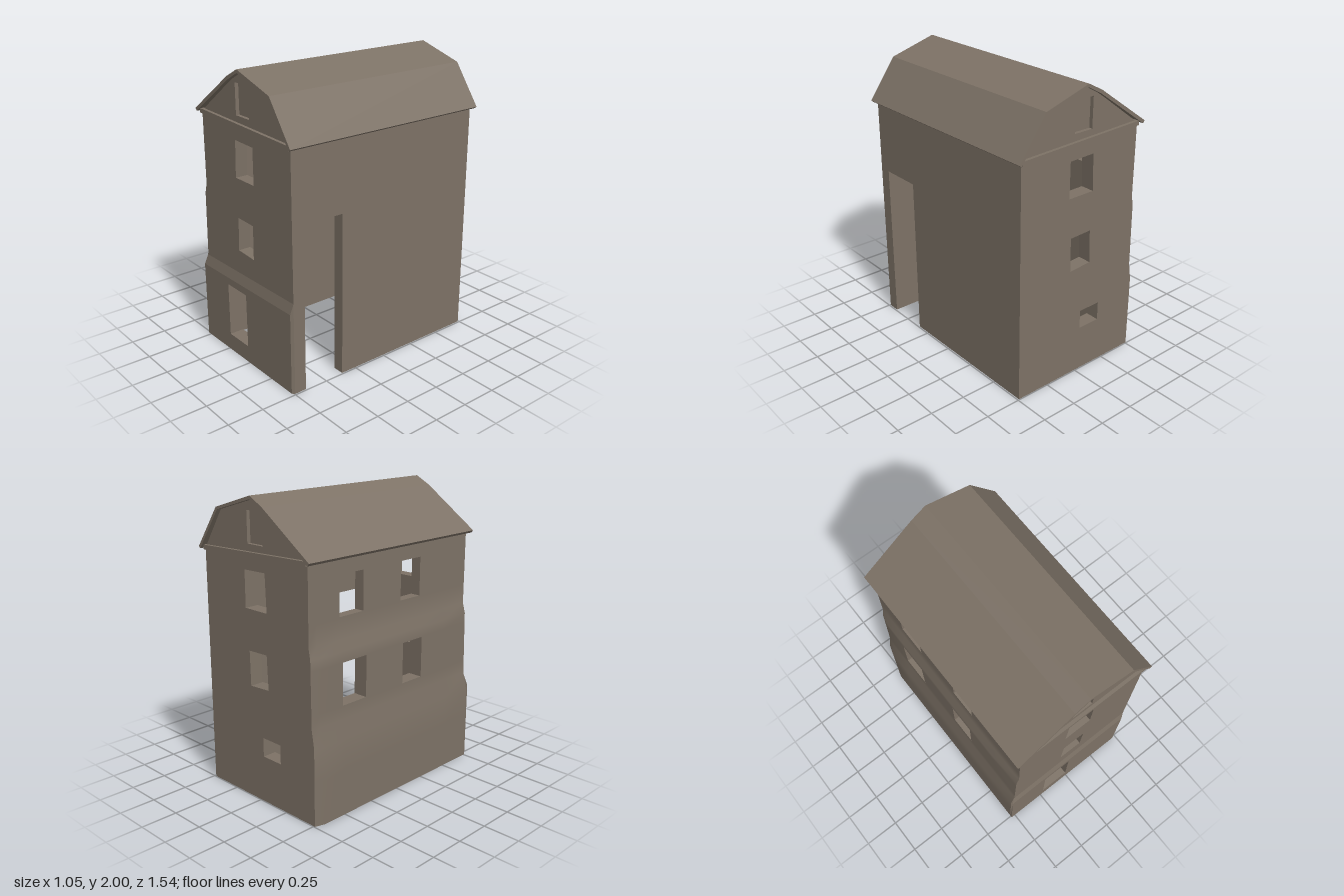
import * as THREE from 'three';
import { toCreasedNormals } from 'three/addons/utils/BufferGeometryUtils.js';

const material = new THREE.MeshStandardMaterial({ color: 0x7d7266 });

const rect = (x0, y0, x1, y1) => [[x0, y0], [x1, y0], [x1, y1], [x0, y1]];
const toPoints = (list) => list.map(([x, y]) => new THREE.Vector2(x, y));

// Flat plate from an outline with openings, running from z0 to z1
function plate(outline, holes, z0, z1) {
  const shape = new THREE.Shape(toPoints(outline));
  holes.forEach((h) => shape.holes.push(new THREE.Path(toPoints(h))));
  const geo = new THREE.ExtrudeGeometry(shape, { depth: z1 - z0, bevelEnabled: false });
  return geo.translate(0, 0, z0);
}

// Linear interpolation through [position, value] pairs
function sample(table, t) {
  for (let i = 1; i < table.length; i++) {
    const [t0, a] = table[i - 1], [t1, b] = table[i];
    if (t <= t1) return a + (b - a) * Math.max(0, (t - t0) / (t1 - t0));
  }
  return table[table.length - 1][1];
}

// Uneven side wall: a grid of cells with window cells left out
function bulgedWall(inner) {
  const zs = [-0.745, -0.68, -0.49, -0.28, -0.1, 0.07, 0.26, 0.5, 0.745];
  const ys = [0, 0.3, 0.52, 0.64, 0.73, 1.01, 1.08, 1.15, 1.29, 1.55, 1.64];
  const low = [[0, 0.06], [0.52, 0.06], [0.64, 0.03], [1.08, 0.02], [1.15, 0], [1.7, 0]];
  const mid = [[0, 0.06], [0.52, 0.06], [0.64, 0.03], [1.08, 0.03], [1.15, 0], [1.7, 0]];
  const outerX = (z, y) => {
    const edge = Math.abs(z) > 0.7;
    return -0.47 - sample(edge ? low : mid, y) * (z < -0.7 ? 0.65 : 1);
  };
  const solid = (i, j) => {
    if (i < 0 || j < 0 || i >= zs.length - 1 || j >= ys.length - 1) return false;
    const windowColumn = i === 2 || i === 5, windowRow = j === 4 || j === 8;
    return !(windowColumn && windowRow);
  };
  const pos = [];
  const quad = (a, b, c, d) => [a, b, c, a, c, d].forEach((p) => pos.push(...p));
  const out = ([i, j]) => [outerX(zs[i], ys[j]), ys[j], zs[i]];
  const inn = ([i, j]) => [inner, ys[j], zs[i]];
  for (let i = 0; i < zs.length - 1; i++) {
    for (let j = 0; j < ys.length - 1; j++) {
      if (!solid(i, j)) continue;
      const c = [[i, j], [i + 1, j], [i + 1, j + 1], [i, j + 1]];
      quad(...c.map(out));
      quad(...c.map(inn).reverse());
      [[0, -1], [1, 0], [0, 1], [-1, 0]].forEach(([di, dj], k) => {
        if (solid(i + di, j + dj)) return;
        const a = c[k], b = c[(k + 1) % 4];
        quad(out(b), out(a), inn(a), inn(b));
      });
    }
  }
  const geo = new THREE.BufferGeometry();
  geo.setAttribute('position', new THREE.Float32BufferAttribute(pos, 3));
  return toCreasedNormals(geo, 0.6);
}

export function createModel() {
  const group = new THREE.Group();
  const add = (name, geo) => {
    const mesh = new THREE.Mesh(geo, material);
    mesh.name = name;
    group.add(mesh);
  };

  // Front and back walls with slightly crooked windows
  const upperWindow = [[-0.1, 1.29], [0.1, 1.29], [0.1, 1.535], [-0.09, 1.54]];
  const middleWindow = [[-0.1, 0.79], [0.07, 0.78], [0.075, 1.015], [-0.09, 1.02]];
  const groundWindow = rect(-0.23, 0.12, -0.015, 0.5);
  const smallWindow = rect(-0.2, 0.32, -0.035, 0.45);
  const wall = [[-0.4, 0], [0.49, 0], [0.49, 1.61], [-0.4, 1.638]];
  add('frontWall', plate(wall, [upperWindow, middleWindow, groundWindow], 0.66, 0.745));
  add('backWall', plate(wall, [upperWindow, middleWindow, smallWindow], -0.745, -0.65));

  // Thickened base of the front wall with a sloping top
  const base = plate([[-0.53, 0], [0.49, 0], [0.49, 0.635], [-0.505, 0.62]], [groundWindow], 0.745, 0.761);
  const p = base.attributes.position;
  for (let i = 0; i < p.count; i++) {
    if (p.getZ(i) < 0.75) continue;
    if (p.getY(i) > 0.55) p.setY(i, p.getY(i) - 0.075);
    if (p.getX(i) > 0.4) p.setX(i, 0.475);
    if (p.getX(i) < -0.4) p.setX(i, -0.528);
  }
  base.computeVertexNormals();
  add('frontWallBase', base);

  // Side wall with the tall doorway, drawn in z and y
  const side = plate([[-0.65, 0], [0.36, 0], [0.36, 1.13], [0.66, 1.13], [0.66, 1.612], [-0.65, 1.612]], [], 0, 0.08);
  add('leftWall', side.rotateY(-Math.PI / 2).translate(0.49, 0, 0));

  // Opposite side wall, bulging, with four windows
  add('rightWall', bulgedWall(-0.4));

  // Attic floor that projects as a cornice at both ends
  add('atticFloor', plate([[-0.47, 1.64], [0.49, 1.61], [0.49, 1.64], [-0.47, 1.67]], [], -0.762, 0.762));

  // Gables: solid core with a plate at each end leaving a recessed hatch
  const gable = [[-0.465, 1.66], [0.485, 1.635], [0.318, 1.887], [0, 1.98], [-0.105, 1.922]];
  const hatch = rect(-0.075, 1.7, 0.07, 1.905);
  add('attic', plate(gable, [], -0.715, 0.715));
  add('frontGable', plate(gable, [hatch], 0.715, 0.74));
  add('backGable', plate(gable, [hatch], -0.74, -0.715));

  // Thin roof shell with uneven slopes
  const roofTop = [[-0.51, 1.665], [-0.11, 1.943], [0, 2], [0.33, 1.9], [0.525, 1.627]];
  const roofUnder = [[0.51, 1.615], [0.318, 1.885], [0, 1.978], [-0.105, 1.92], [-0.496, 1.648]];
  add('roof', plate([...roofTop, ...roofUnder].reverse(), [], -0.772, 0.772));

  return group;
}
